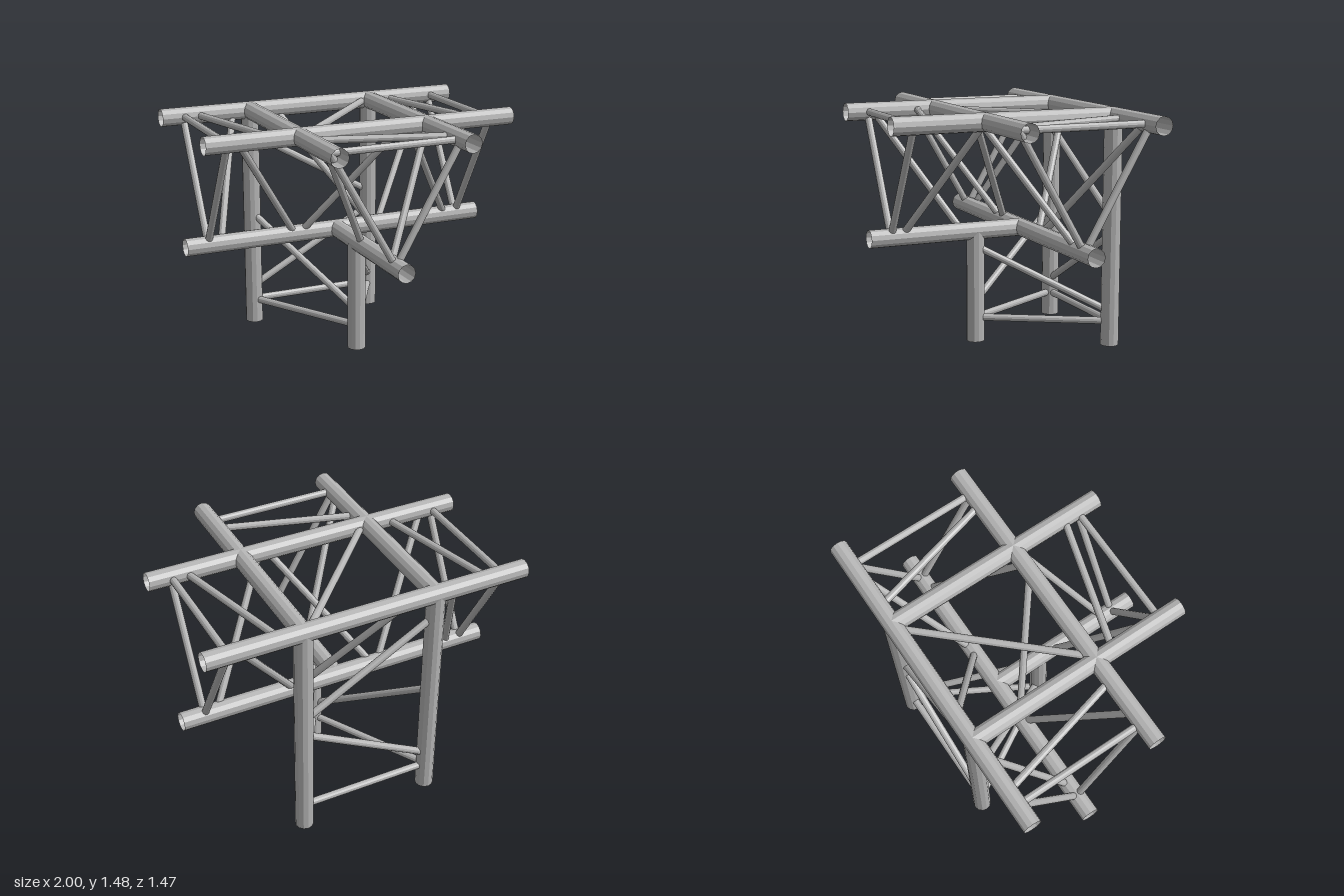
import * as THREE from 'three';

export function createModel() {
  const model = new THREE.Group();
  model.name = 'trussCorner';
  const aluminium = new THREE.MeshStandardMaterial({ color: 0xb4b4b4, flatShading: true, side: THREE.DoubleSide });
  aluminium.name = 'aluminium';

  const UP = new THREE.Vector3(0, 1, 0);
  const CHORD = 0.056, BRACE = 0.0225;

  // Open tube between two points
  function tube(name, a, b, radius, parent) {
    const p = new THREE.Vector3(...a), q = new THREE.Vector3(...b);
    const dir = q.clone().sub(p);
    const mesh = new THREE.Mesh(new THREE.CylinderGeometry(radius, radius, dir.length(), 12, 1, true), aluminium);
    mesh.position.copy(p).add(q).multiplyScalar(0.5);
    mesh.quaternion.setFromUnitVectors(UP, dir.normalize());
    mesh.name = name;
    parent.add(mesh);
  }

  // One triangular truss: three chords, triangular frames and diagonals.
  // chords: functions giving a point at distance t along each chord.
  // diagonals: [chord i, t on i, chord j, t on j]
  function truss(name, chords, spans, frames, diagonals) {
    const group = new THREE.Group();
    group.name = name;
    chords.forEach((at, i) => tube('chord', at(spans[i][0]), at(spans[i][1]), CHORD, group));
    for (const t of frames) {
      for (let i = 0; i < 3; i++) {
        tube('frameBar', chords[i](t), chords[(i + 1) % 3](t), BRACE, group);
      }
    }
    for (const [i, s, j, t] of diagonals) {
      tube('diagonalBrace', chords[i](s), chords[j](t), BRACE, group);
    }
    model.add(group);
  }

  const X = 0.415, TOP = 1.42, LOW = 0.7, BACK = -0.68, FRONT = 0.15, MID = -0.265;

  // Arms running left and right
  truss('sideArms',
    [t => [t, TOP, BACK], t => [t, TOP, FRONT], t => [t, LOW, MID]],
    [[-1, 1], [-1, 1], [-1, 1]],
    [-0.855, 0.855],
    [
      [1, -0.79, 2, -0.285], [1, 0.25, 2, -0.25], [1, 0.3, 2, 0.775], // front face
      [0, -0.53, 2, -0.77], [0, -0.25, 2, 0.25], [0, 0.79, 2, 0.285], // back face
      [0, -0.765, 1, -0.555], [0, 0.386, 1, -0.386], [0, 0.545, 1, 0.765], // top face
    ]);

  // Arm running forward
  truss('frontArm',
    [t => [-X, TOP, t], t => [X, TOP, t], t => [0, LOW, t]],
    [[BACK, 0.735], [BACK, 0.735], [MID, 0.735]],
    [0.595],
    [[0, 0.555, 2, 0.13], [1, 0.16, 2, 0.53], [0, 0.265, 1, 0.505]]);

  // Legs running down to the floor
  truss('legs',
    [t => [-X, t, BACK], t => [X, t, BACK], t => [0, t, 0.045]],
    [[0, TOP], [0, TOP], [0, LOW]],
    [0.15],
    [[0, 0.745, 2, 0.25], [1, 0.21, 2, 0.605], [0, 0.24, 1, 0.695], [0, 1.27, 1, 0.8]]);

  return model;
}
